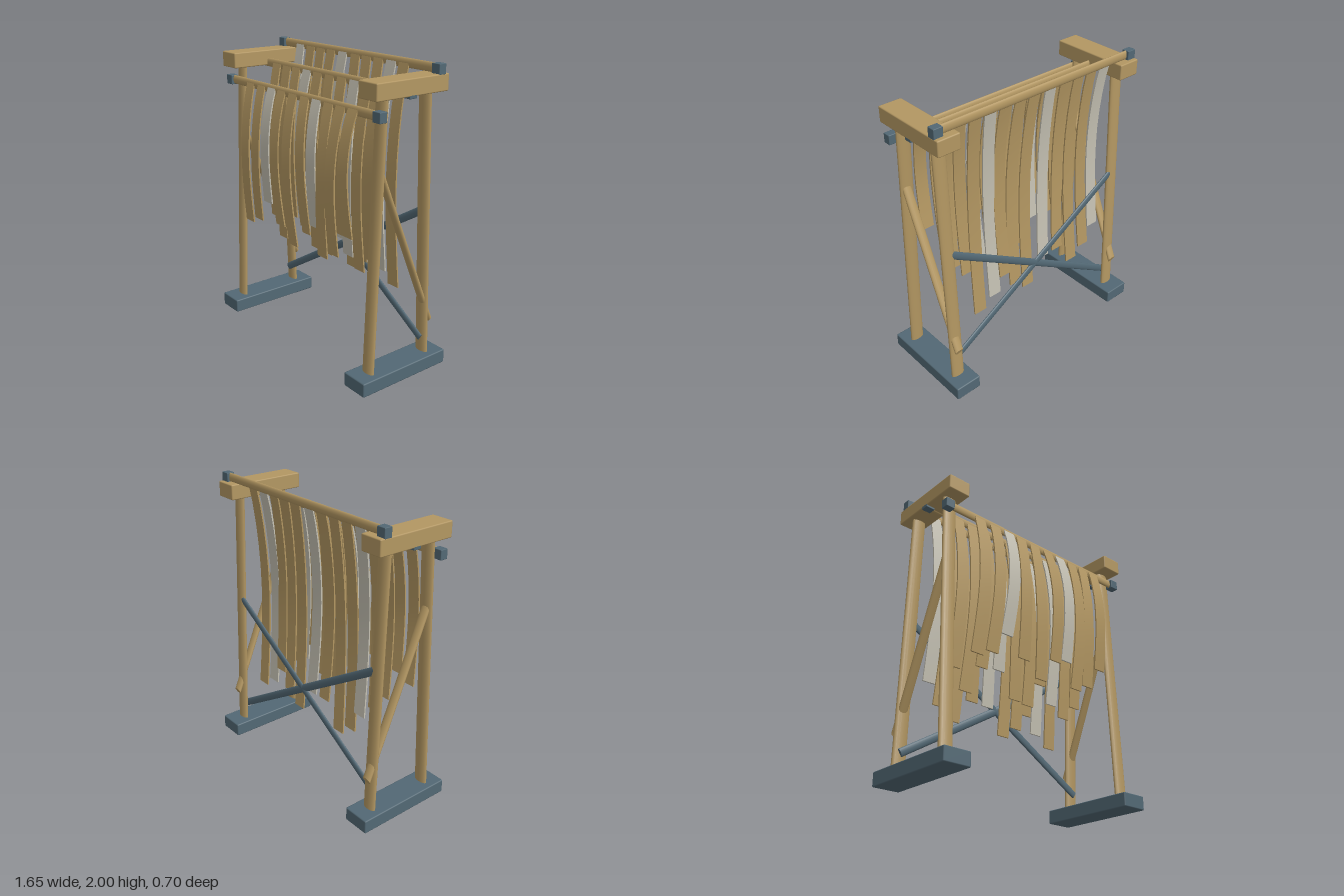
import * as THREE from 'three';
import { RoundedBoxGeometry } from 'three/addons/geometries/RoundedBoxGeometry.js';

const SQUASH = 0.43; // poles are oval: flattened front to back

export function createModel() {
  const wood = new THREE.MeshStandardMaterial({ name: 'wood', color: 0xb39762 });
  const cloth = new THREE.MeshStandardMaterial({ name: 'paleCloth', color: 0xc4c0b2 });
  const slate = new THREE.MeshStandardMaterial({ name: 'slate', color: 0x526874 });

  const model = new THREE.Group();
  model.name = 'stripCurtainRack';
  const poles = new THREE.Group();
  poles.name = 'poles';
  poles.scale.z = SQUASH;
  model.add(poles);

  const block = (name, mat, w, h, d, x, y, z, bevel = 0.008) => {
    const m = new THREE.Mesh(new RoundedBoxGeometry(w, h, d, 1, bevel), mat);
    m.name = name;
    m.position.set(x, y, z);
    model.add(m);
  };

  // Round pole between two points, laid out before the group flattening
  const pole = (name, mat, r, a, b) => {
    const p = new THREE.Vector3(a[0], a[1], a[2] / SQUASH);
    const q = new THREE.Vector3(b[0], b[1], b[2] / SQUASH);
    const dir = q.clone().sub(p);
    const m = new THREE.Mesh(new THREE.CylinderGeometry(r, r, dir.length(), 16), mat);
    m.name = name;
    m.position.copy(p).add(q).multiplyScalar(0.5);
    m.quaternion.setFromUnitVectors(new THREE.Vector3(0, 1, 0), dir.normalize());
    poles.add(m);
  };

  // Side frames: foot, two leaning legs, top beam, diagonal strut; rear cross brace
  for (const s of [-1, 1]) {
    block('foot', slate, 0.19, 0.095, 0.705, s * 0.73, 0.0525, 0);
    block('topBeam', wood, 0.16, 0.105, 0.565, s * 0.73, 1.888, 0);
    pole('frontLeg', wood, 0.049, [s * 0.73, 0.09, 0.235], [s * 0.73, 1.85, 0.17]);
    pole('backLeg', wood, 0.049, [s * 0.73, 0.09, -0.233], [s * 0.73, 1.85, -0.17]);
    pole('sideStrut', wood, 0.032, [s * 0.735, 1.425, 0.19], [s * 0.735, 0.33, -0.27]);
    pole('crossBrace', slate, 0.027, [s * -0.74, 0.2, -0.204], [s * 0.74, 1.1, -0.204]);
  }

  // Hanging strip: a thin box bent into a gentle bow
  const strip = (mat, x0, y0, z0, x1, y1, sway) => {
    const g = new THREE.BoxGeometry(0.092, 1, 0.01, 1, 10, 1);
    const p = g.attributes.position;
    for (let i = 0; i < p.count; i++) {
      const t = 0.5 - p.getY(i);
      const bow = Math.sin(Math.PI * Math.pow(t, 0.85));
      p.setXYZ(i,
        p.getX(i) * (0.94 + 0.1 * t) + x0 + (x1 - x0) * t + sway * bow,
        y0 + (y1 - y0) * t,
        p.getZ(i) + z0 + 0.03 * t + 0.055 * bow);
    }
    g.computeVertexNormals();
    const m = new THREE.Mesh(g, mat);
    m.name = 'hangingStrip';
    model.add(m);
  };

  // Rows: rail position, strip tops, sideways drift and lower ends
  const rows = [
    { y: 1.97, z: -0.226,
      x: [-0.567, -0.447, -0.335, -0.217, -0.093, 0.035, 0.146, 0.262, 0.382, 0.495],
      drift: [0, -0.035, -0.03, 0, 0.01, 0.022, 0.025, 0, -0.025, -0.01],
      end: [0.7, 0.56, 0.485, 0.66, 0.655, 0.48, 0.56, 0.68, 0.56, 0.485] },
    { y: 1.856, z: 0.003,
      x: [-0.535, -0.415, -0.305, -0.185, -0.07, 0.053, 0.177, 0.3, 0.425, 0.53],
      drift: [-0.01, -0.035, -0.02, 0.005, 0.03, 0.02, 0.01, -0.01, -0.02, -0.015],
      end: [0.74, 0.6, 0.8, 0.82, 0.65, 0.64, 0.82, 0.7, 0.63, 0.735] },
    { y: 1.745, z: 0.228,
      x: [-0.525, -0.395, -0.273, -0.16, -0.035, 0.09, 0.21, 0.33, 0.445, 0.557],
      drift: [-0.017, -0.03, -0.033, 0.0, 0.02, 0.03, 0.012, -0.025, -0.03, -0.01],
      end: [0.755, 0.8, 0.955, 0.83, 0.73, 0.9, 0.93, 0.75, 0.8, 0.96] },
  ];
  rows.forEach((row, r) => {
    pole('rail', wood, 0.03, [-0.775, row.y, row.z], [0.775, row.y, row.z]);
    for (const s of [-1, 1]) {
      block('railCap', slate, 0.065, 0.065, 0.055, s * 0.777, row.y - 0.002, row.z, 0.004);
    }
    row.x.forEach((x, i) => {
      const mat = (i + r) % 4 === 0 ? cloth : wood;
      const sway = i % 5 < 3 ? 0.014 : -0.01;
      strip(mat, x, row.y + 0.015, row.z + 0.005, x + row.drift[i], row.end[i], sway);
    });
  });

  return model;
}
